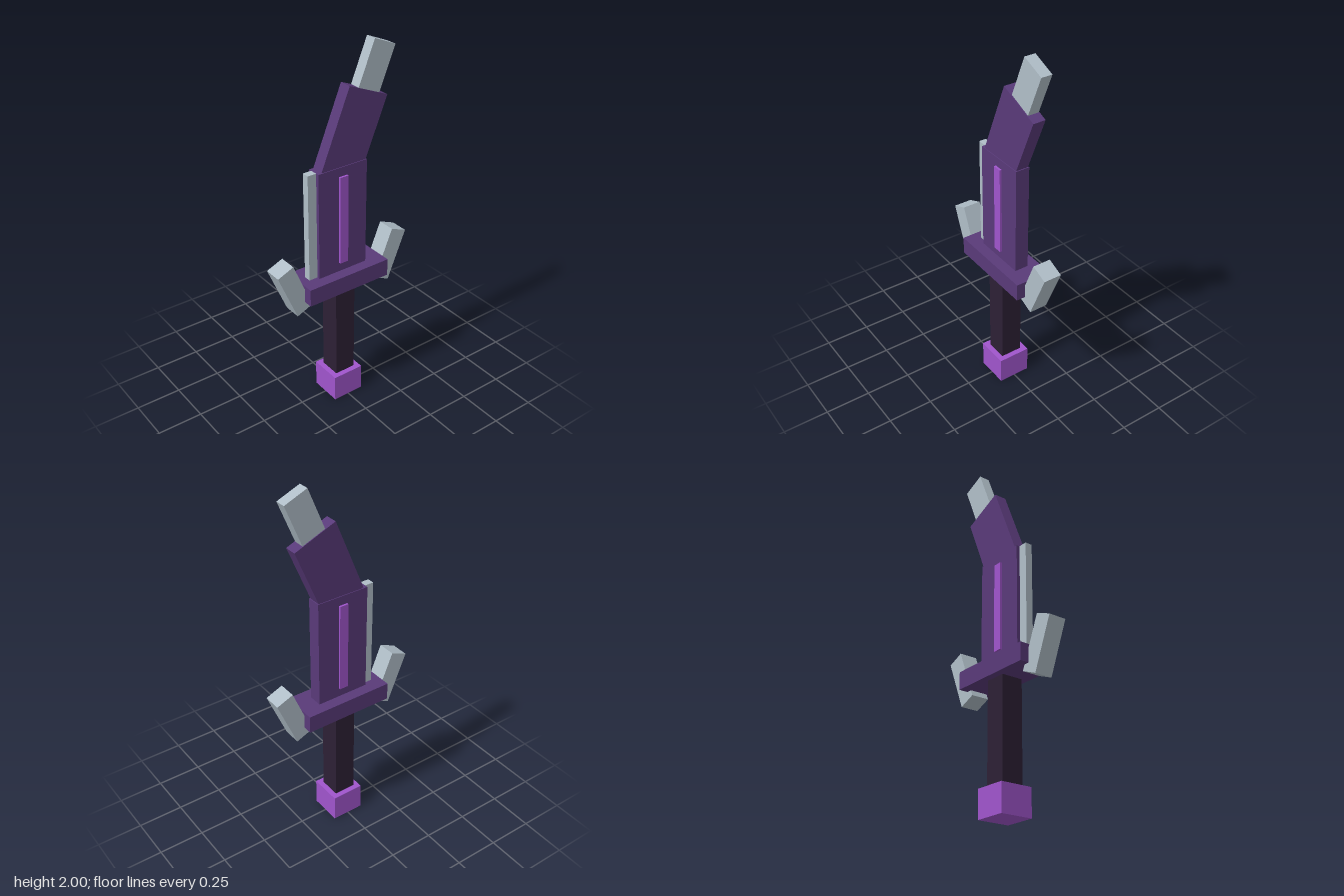
import * as THREE from 'three';

const material = (name, color) => {
  const m = new THREE.MeshStandardMaterial({ color });
  m.name = name;
  return m;
};

export function createModel() {
  const purple = material('dark purple', 0x593a79);
  const violet = material('bright violet', 0xa055cc);
  const wrap = material('dark grip', 0x2d2035);
  const steel = material('pale steel', 0xb0bec8);

  const sword = new THREE.Group();
  sword.name = 'sword';

  // Box from its size and centre, optionally leaning in the front plane
  const block = (name, mat, [w, h, d], [x, y], lean = 0) => {
    const mesh = new THREE.Mesh(new THREE.BoxGeometry(w, h, d), mat);
    mesh.name = name;
    mesh.position.set(x, y, 0);
    mesh.rotation.z = lean;
    sword.add(mesh);
  };
  const LEAN = Math.PI / 8;

  // Handle
  block('pommel', violet, [0.18, 0.15, 0.18], [0, 0.075]);
  block('grip', wrap, [0.12, 0.55, 0.12], [0, 0.425]);

  // Guard with a flared prong at each end
  block('guard', purple, [0.5, 0.097, 0.2], [0, 0.747]);
  for (const side of [1, -1]) {
    block(side > 0 ? 'leftProng' : 'rightProng', steel,
      [0.1, 0.29, 0.1], [side * 0.307, 0.783], -side * LEAN);
  }

  // Straight lower blade, its cutting edge and the inlay through it
  block('lowerBlade', purple, [0.297, 0.596, 0.077], [-0.001, 1.093]);
  block('cuttingEdge', steel, [0.05, 0.596, 0.04], [-0.175, 1.093]);
  block('inlay', violet, [0.05, 0.495, 0.1], [0, 1.094]);

  // Bent upper blade and tip
  block('upperBlade', purple, [0.25, 0.437, 0.069], [0.072, 1.549], -LEAN);
  block('tip', steel, [0.137, 0.246, 0.06], [0.206, 1.86], -LEAN);

  return sword;
}
